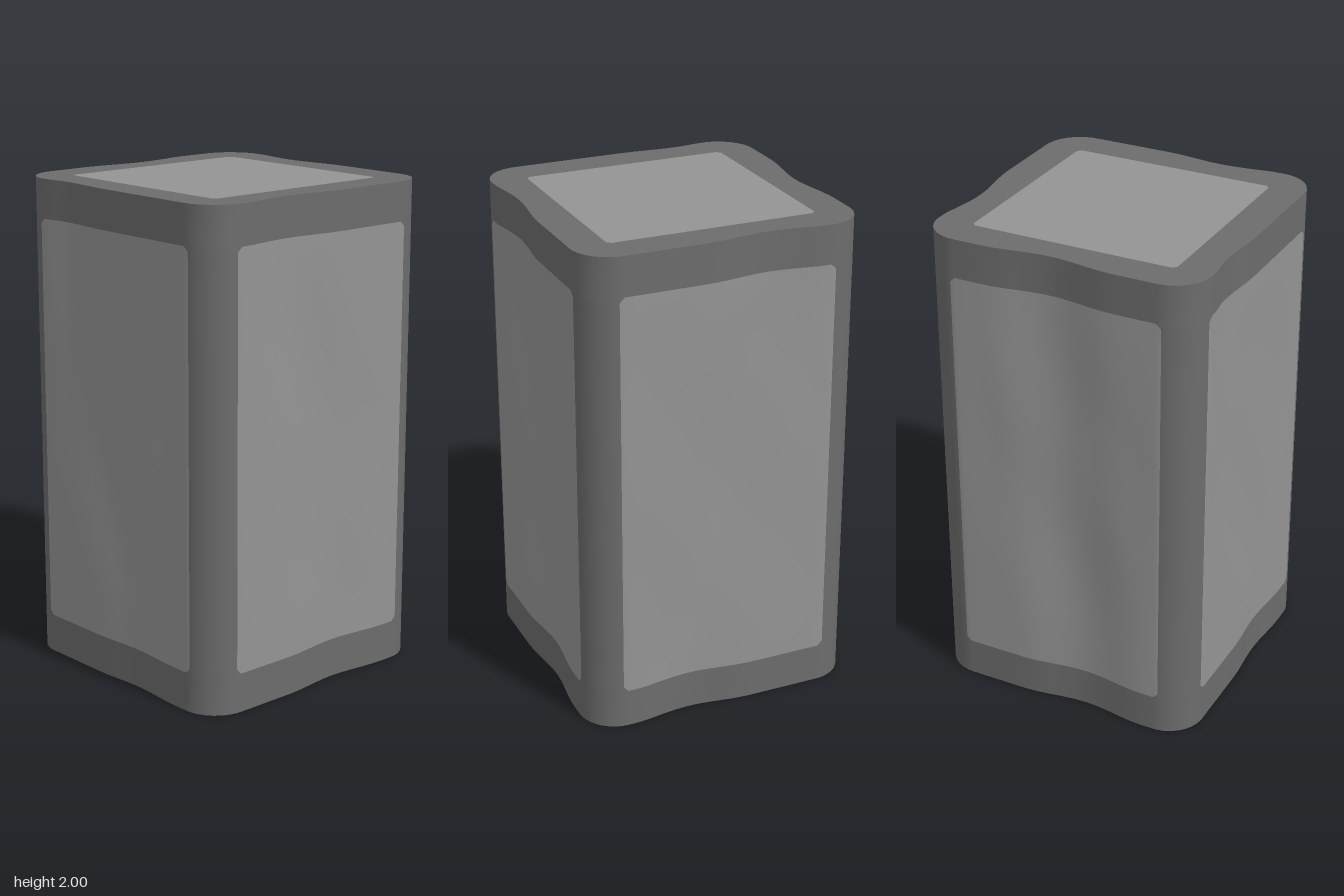
import * as THREE from 'three';

const HALF = 0.577, R = 0.152, FLAT = HALF - R, HEIGHT = 2;
const rimMat = new THREE.MeshStandardMaterial({ color: 0x6c6c6c });
rimMat.name = 'dark stone';
const panelMat = new THREE.MeshStandardMaterial({ color: 0x949494 });
panelMat.name = 'light stone';

// Worn slanting hollow on each side: u centre at bottom and top, depth, half width
const hollows = [
  { low: 0.12, high: -0.28, depth: 0.014, width: 0.24 },  // front
  { low: 0.1, high: -0.17, depth: 0.024, width: 0.27 },   // +x side
  { low: -0.15, high: 0.17, depth: 0.028, width: 0.27 },  // back
  { low: 0.1, high: -0.03, depth: 0.031, width: 0.28 },   // -x side
];

function wear(side, u, y) {
  const h = hollows[side];
  const t = (THREE.MathUtils.clamp(y, 0.32, 1.75) - 0.32) / 1.43;
  const d = (u - THREE.MathUtils.lerp(h.low, h.high, t)) / h.width;
  const groove = Math.abs(d) < 1 ? h.depth * Math.cos(d * Math.PI / 2) ** 2 : 0;
  const ripple = 0.004 * Math.sin(Math.PI * t) * (1 + Math.sin(u * 9 + t * 8 + side * 2));
  return (groove + ripple) * THREE.MathUtils.smoothstep(FLAT - Math.abs(u), 0, 0.12);
}

// Columns round the block: u positions on a side, then the rounded corner
const PANEL = 0.445, NOTCH = FLAT;
const us = [-PANEL];
for (let i = 0; i <= 16; i++) us.push(-NOTCH + (i / 16) * 2 * NOTCH);
us.push(PANEL);
const lastU = us.length - 1;
const columns = [];
for (let side = 0; side < 4; side++) {
  us.forEach((u, i) => {
    const over = Math.max(0, Math.abs(u) - FLAT);
    columns.push({ side, u, i, n: FLAT + Math.sqrt(R * R - over * over) });
  });
  for (const deg of [18, 31, 45, 59, 72]) {
    const a = THREE.MathUtils.degToRad(deg);
    columns.push({ side, u: FLAT + R * Math.sin(a), i: -1, n: FLAT + R * Math.cos(a) });
  }
}

// Rows, with lines on the panel edges
const rows = [0, 0.16, 0.18];
for (let i = 0; i <= 14; i++) rows.push(0.32 + (i / 14) * 1.43);
rows.push(1.82, 1.84, HEIGHT);
const firstRow = 1, lastRow = rows.length - 3;

function surfacePoint(c, y) {
  const n = c.n - wear(c.side, c.u, y), a = c.side * Math.PI / 2;
  return new THREE.Vector3(
    Math.sin(a) * n + Math.cos(a) * c.u, y, Math.cos(a) * n - Math.sin(a) * c.u);
}

function makeSides() {
  const pos = [], rim = [], panel = [], N = columns.length;
  for (const y of rows) for (const c of columns) pos.push(...surfacePoint(c, y).toArray());
  for (let j = 0; j < rows.length - 1; j++) {
    for (let k = 0; k < N; k++) {
      const next = (k + 1) % N, i = columns[k].i;
      const a = j * N + k, b = j * N + next, c = b + N, d = a + N;
      const inside = i >= 0 && i < lastU && j >= firstRow && j <= lastRow;
      const left = i === 0, right = i === lastU - 1;
      const bottom = j === firstRow, top = j === lastRow;
      if (!inside) rim.push(a, b, c, a, c, d);
      else if (!((left || right) && (bottom || top))) panel.push(a, b, c, a, c, d);
      // Cut panel corners
      else if (left && bottom) { rim.push(a, b, d); panel.push(b, c, d); }
      else if (right && top) { panel.push(a, b, d); rim.push(b, c, d); }
      else if (right && bottom) { rim.push(a, b, c); panel.push(a, c, d); }
      else { panel.push(a, b, c); rim.push(a, c, d); }
    }
  }
  const geo = new THREE.BufferGeometry();
  geo.setAttribute('position', new THREE.Float32BufferAttribute(pos, 3));
  geo.setIndex([...rim, ...panel]);
  geo.addGroup(0, rim.length, 0);
  geo.addGroup(rim.length, panel.length, 1);
  geo.computeVertexNormals();
  const mesh = new THREE.Mesh(geo, [rimMat, panelMat]);
  mesh.name = 'sides';
  return mesh;
}

// End face: worn outline with a light square set in the middle
function makeEnd(name, y, up) {
  const flip = up ? 1 : -1, s = 0.43, c = 0.015;
  const square = [[-s + c, -s], [s - c, -s], [s, -s + c], [s, s - c],
    [s - c, s], [-s + c, s], [-s, s - c], [-s, -s + c]].map(p => new THREE.Vector2(...p));
  const outline = columns.map(k => {
    const p = surfacePoint(k, y);
    return new THREE.Vector2(p.x, -p.z * flip);
  });
  const rim = new THREE.Shape(outline);
  rim.holes.push(new THREE.Path(square));
  const group = new THREE.Group();
  group.name = name;
  [[rim, rimMat, 'Rim'], [new THREE.Shape(square), panelMat, 'Panel']].forEach(([shape, mat, part]) => {
    const geo = new THREE.ShapeGeometry(shape);
    geo.rotateX(-flip * Math.PI / 2);
    geo.translate(0, y, 0);
    const mesh = new THREE.Mesh(geo, mat);
    mesh.name = name + part;
    group.add(mesh);
  });
  return group;
}

export function createModel() {
  const model = new THREE.Group();
  model.name = 'stonePillar';
  model.add(makeSides(), makeEnd('top', HEIGHT, true), makeEnd('bottom', 0, false));
  return model;
}
